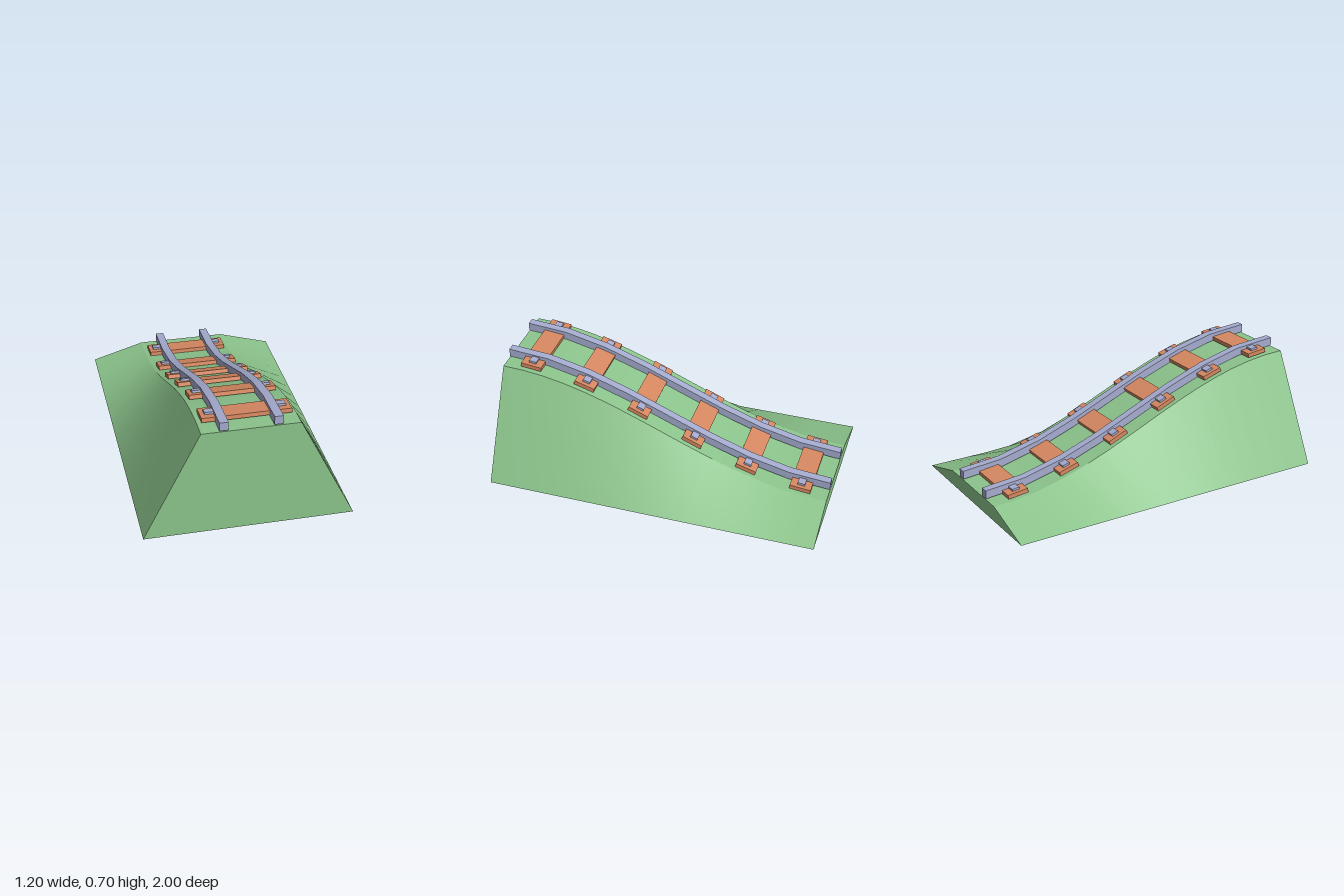
import * as THREE from 'three';

const grass = new THREE.MeshStandardMaterial({ name: 'grass green', color: 0x8cc48c });
const wood = new THREE.MeshStandardMaterial({ name: 'sleeper orange', color: 0xd78861 });
const steel = new THREE.MeshStandardMaterial({ name: 'rail blue grey', color: 0xa5abce });

// Height and steepness of the slope, falling from the front to the back
const height = z => 0.37 + 0.275 * Math.sin(z * Math.PI / 2);
const slope = z => 0.275 * Math.PI / 2 * Math.cos(z * Math.PI / 2);

// Sweeps a section (corners counter-clockwise seen from the front) along z,
// smooth lengthwise with sharp edges between the sides
function sweep(section, segments) {
  const pos = [], index = [];
  const rings = [];
  for (let k = 0; k <= segments; k++) {
    const z = 1 - 2 * k / segments;
    rings.push(section(z).map(([x, y]) => [x, y, z]));
  }
  const n = rings[0].length;
  for (let i = 0; i < n; i++) {
    const start = pos.length / 3;
    for (const ring of rings) pos.push(...ring[i], ...ring[(i + 1) % n]);
    for (let k = 0; k < segments; k++) {
      const a = start + 2 * k;
      index.push(a + 1, a, a + 2, a + 1, a + 2, a + 3);
    }
  }
  // End caps
  for (const ring of [rings[0], [...rings[segments]].reverse()]) {
    const start = pos.length / 3;
    for (const p of ring) pos.push(...p);
    for (let i = 1; i < n - 1; i++) index.push(start, start + i, start + i + 1);
  }
  const geometry = new THREE.BufferGeometry();
  geometry.setAttribute('position', new THREE.Float32BufferAttribute(pos, 3));
  geometry.setIndex(index);
  geometry.computeVertexNormals();
  return geometry;
}

function add(parent, name, geometry, material) {
  const mesh = new THREE.Mesh(geometry, material);
  mesh.name = name;
  parent.add(mesh);
  return mesh;
}

export function createModel() {
  const model = new THREE.Group();
  model.name = 'slopedTrack';

  // Embankment with a straight base and a curved top
  add(model, 'embankment', sweep(z => [
    [-0.6, 0], [0.6, 0], [0.275, height(z)], [-0.275, height(z)],
  ], 16), grass);

  // Two rails following the slope
  for (const side of [-1, 1]) {
    const x = side * 0.15;
    add(model, side > 0 ? 'leftRail' : 'rightRail', sweep(z => {
      const y = height(z) + 0.006;
      return [[x - 0.025, y], [x + 0.025, y], [x + 0.025, y + 0.05], [x - 0.025, y + 0.05]];
    }, 8), steel);
  }

  // Sleepers tilted with the slope, each with a clip outside either rail
  const sleeperShape = new THREE.BoxGeometry(0.5, 0.025, 0.127);
  const clipShape = new THREE.BoxGeometry(0.075, 0.014, 0.045);
  for (let i = 0; i < 6; i++) {
    const z = (i - 2.5) / 3;
    const tie = new THREE.Group();
    tie.name = 'sleeperWithClips';
    tie.position.set(0, height(z) + 0.018, z);
    tie.rotation.x = -Math.atan(slope(z));
    add(tie, 'sleeper', sleeperShape, wood);
    for (const side of [-1, 1]) {
      add(tie, 'railClip', clipShape, steel).position.set(side * 0.1875, 0.0185, 0);
    }
    model.add(tie);
  }
  return model;
}
